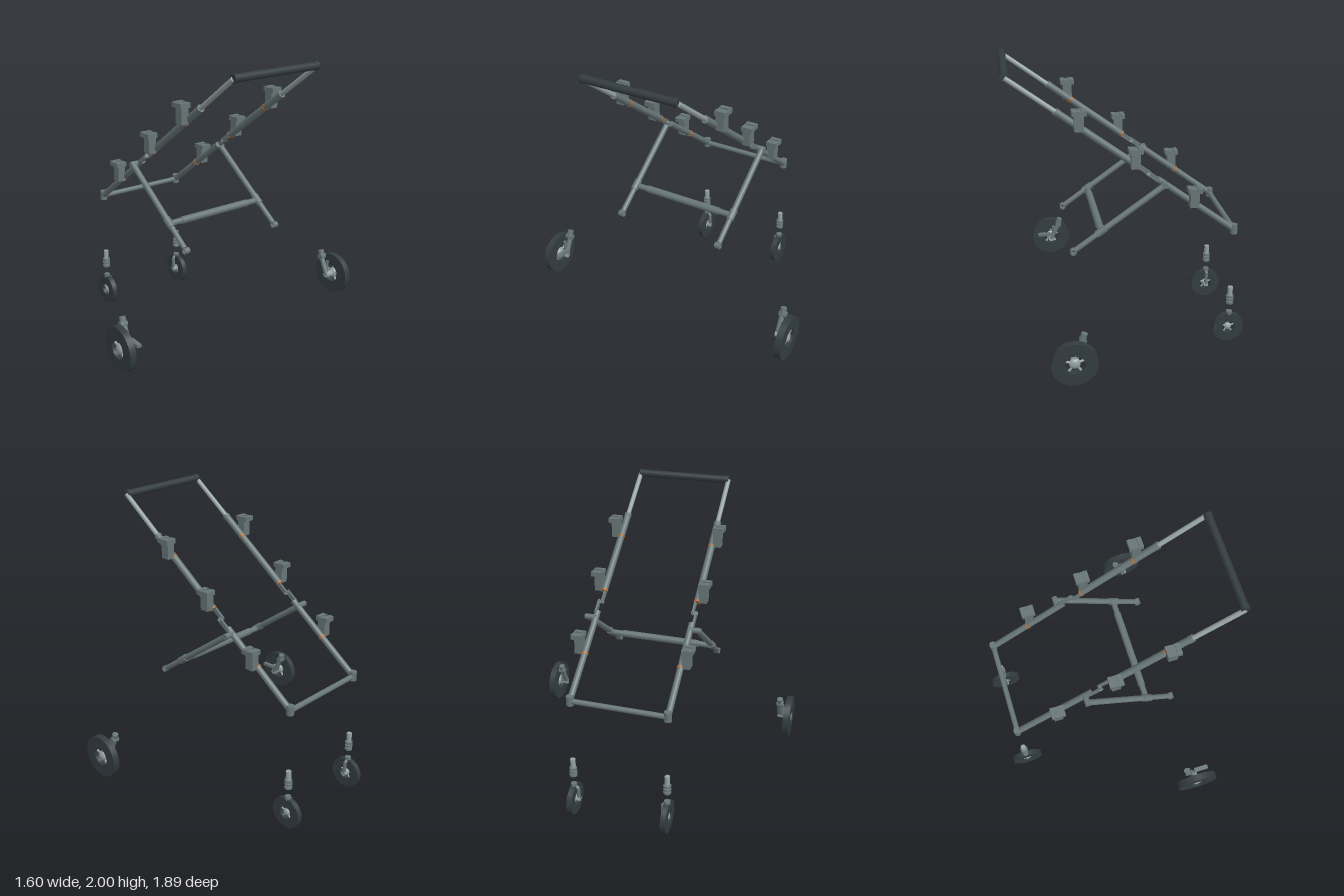
import * as THREE from 'three';
import { toCreasedNormals } from 'three/addons/utils/BufferGeometryUtils.js';

const mat = (name, color) => Object.assign(new THREE.MeshStandardMaterial({ color }), { name });

export function createModel() {
  const root = new THREE.Group();
  root.name = 'foldingCartFrame';
  const frame = mat('frameGrey', 0x677576);
  const metal = mat('lightMetal', 0x94a1a1);
  const dark = mat('darkRubber', 0x333c40);
  const orange = mat('orangeClip', 0xb5682a);
  const V = (x, y, z) => new THREE.Vector3(x, y, z);

  const add = (name, geo, m, p, parent = root) => {
    const mesh = new THREE.Mesh(geo, m);
    mesh.name = name;
    if (p) mesh.position.copy(p);
    parent.add(mesh);
    return mesh;
  };
  // round bar between two points
  const bar = (name, a, b, r, m = frame, parent = root, r2 = r) => {
    const d = b.clone().sub(a);
    const mesh = add(name, new THREE.CylinderGeometry(r2, r, d.length(), 20), m, a.clone().lerp(b, 0.5), parent);
    mesh.quaternion.setFromUnitVectors(V(0, 1, 0), d.normalize());
    return mesh;
  };
  const box = (name, w, h, d, p, m = frame, parent = root) =>
    add(name, new THREE.BoxGeometry(w, h, d), m, p, parent);

  // points along the inclined rail and along the rear leg
  const slope = 1.1 / 1.47;
  const railAngle = Math.atan(slope);
  const onRail = (x, z) => V(x, 0.87 + (x + 0.7) * slope, z);
  const onLeg = (x, z) => V(x, 1.24 - (x + 0.21) * 0.712, z);

  // wheel: square-section tyre, spokes and a flattened hub
  function wheel(name, p, R, inner, width, spokes) {
    const g = new THREE.Group();
    g.name = name;
    g.position.copy(p);
    root.add(g);
    const h = width / 2;
    const profile = [[inner, -h], [R, -h], [R, h], [inner, h], [inner, -h]].map(q => new THREE.Vector2(...q));
    const tyre = add('tyre', toCreasedNormals(new THREE.LatheGeometry(profile, 48), 0.6), dark, null, g);
    tyre.rotation.x = Math.PI / 2;
    for (let i = 0; i < spokes; i++) {
      const a = Math.PI / 2 + (i * 2 * Math.PI) / spokes;
      bar('spoke', V(0, 0, 0), V(Math.cos(a) * inner * 1.05, Math.sin(a) * inner * 1.05, 0), inner * 0.13, metal, g);
    }
    const hub = add('hub', new THREE.SphereGeometry(inner * 0.58, 24, 16), metal, null, g);
    hub.scale.z = h / (inner * 0.58);
  }

  // clamp with a notched cap, hooked on the outside of the rail
  function clamp(x, s) {
    const g = new THREE.Group();
    g.name = 'railClamp';
    const c = onRail(x, s * 0.37);
    g.position.set(c.x, c.y - 0.015, c.z);
    root.add(g);
    box('clampBody', 0.06, 0.115, 0.055, V(0, 0.0575, -s * 0.008), frame, g);
    box('clampCap', 0.092, 0.022, 0.074, V(0, 0.116, 0), frame, g);
    for (const k of [-1, 1]) {
      box('capLip', 0.03, 0.012, 0.074, V(k * 0.031, 0.131, 0), frame, g);
      box('capEdge', 0.092, 0.012, 0.01, V(0, 0.128, k * 0.032), frame, g);
    }
    const ox = x - 0.018;
    bar('orangeBand', onRail(ox - 0.005, s * 0.325), onRail(ox + 0.005, s * 0.325), 0.0245, orange);
  }

  for (const s of [1, -1]) {
    const z = s * 0.325;
    // inclined side rail in three sections
    bar('lowerRail', onRail(-0.7, z), onRail(-0.17, z), 0.021);
    bar('upperRail', onRail(-0.04, z), onRail(0.47, z), 0.023);
    bar('railCollar', onRail(0.455, z), onRail(0.475, z), 0.025);
    bar('handleTube', onRail(0.47, z), onRail(0.77, z), 0.016, metal);
    bar('cornerFitting', V(-0.7, 0.84, z), V(-0.7, 0.905, z), 0.025);

    // folding hinge in the rail gap
    for (const [x, dz] of [[-0.14, 0.012], [-0.075, -0.01]]) {
      const link = box('hingeLink', 0.1, 0.03, 0.014, onRail(x, z + s * dz));
      link.rotation.z = railAngle;
    }
    bar('hingePin', onRail(-0.11, z - s * 0.02), onRail(-0.11, z + s * 0.022), 0.009, metal);

    // rear leg with pivot, sleeve and open end
    const lz = s * 0.376;
    bar('legPivot', onLeg(-0.21, s * 0.315), onLeg(-0.21, s * 0.398), 0.019);
    bar('rearLeg', onLeg(-0.215, lz), onLeg(0.2, lz), 0.02);
    bar('legSleeve', onLeg(0.175, lz), onLeg(0.235, lz), 0.025);
    bar('legTip', onLeg(0.2, lz), onLeg(0.375, lz), 0.018);
    const eye = new THREE.LatheGeometry(
      [[0.013, -0.019], [0.021, -0.019], [0.021, 0.019], [0.013, 0.019], [0.013, -0.019]].map(q => new THREE.Vector2(...q)), 24);
    add('legEye', toCreasedNormals(eye, 0.6), frame, onLeg(0.39, lz)).rotation.x = Math.PI / 2;
    bar('braceEnd', V(0.205, 0.94, s * 0.27), V(0.205, 0.94, lz), 0.02);

    for (const x of [-0.41, -0.02, 0.335]) clamp(x, s);

    // front wheel, its one-sided fork and the loose stem above
    wheel('frontWheel', V(-0.695, 0.112, z), 0.11, 0.045, 0.036, 5);
    const fz = s * 0.295;
    bar('forkArm', V(-0.695, 0.112, fz), V(-0.7, 0.2, fz), 0.012);
    bar('forkAxle', V(-0.695, 0.112, s * 0.286), V(-0.695, 0.112, z), 0.018, metal);
    bar('forkTop', V(-0.7, 0.2, fz), V(-0.7, 0.222, z), 0.012);
    bar('forkCap', V(-0.7, 0.212, z), V(-0.7, 0.237, z), 0.021);
    bar('stemPin', V(-0.7, 0.3, z), V(-0.7, 0.39, z), 0.015, metal);
    bar('stemTop', V(-0.7, 0.375, z), V(-0.7, 0.428, z), 0.018, metal);
    for (const y of [0.306, 0.33, 0.354]) bar('stemRing', V(-0.7, y - 0.007, z), V(-0.7, y + 0.007, z), 0.026);

    // rear wheel with swing arm and socket
    wheel('rearWheel', V(0.45, 0.325, s * 0.922), 0.147, 0.063, 0.044, 5);
    const az = s * 0.857;
    bar('rearAxle', V(0.45, 0.325, s * 0.845), V(0.45, 0.325, s * 0.922), 0.022, metal);
    bar('swingArm', V(0.45, 0.325, az), V(0.39, 0.45, az), 0.018);
    bar('armBoss', V(0.39, 0.45, s * 0.838), V(0.39, 0.45, s * 0.885), 0.022);
    bar('legSocket', V(0.395, 0.445, s * 0.86), V(0.379, 0.495, s * 0.86), 0.021);
    bar('suspension', V(0.43, 0.33, s * 0.88), V(0.43, 0.42, s * 0.88), 0.011);
  }
  // brake lever on the left rear wheel only
  box('brakeLever', 0.1, 0.02, 0.03, V(0.505, 0.365, 0.85));

  // cross members and grip
  bar('frontCrossbar', V(-0.7, 0.868, -0.325), V(-0.7, 0.868, 0.325), 0.018);
  bar('rearBrace', V(0.205, 0.94, -0.28), V(0.205, 0.94, 0.28), 0.025);
  bar('handleGrip', V(0.77, 1.974, -0.3), V(0.77, 1.974, 0.3), 0.025, dark);
  for (const s of [1, -1]) bar('gripCap', V(0.77, 1.974, s * 0.298), V(0.77, 1.974, s * 0.328), 0.028, dark);
  return root;
}
